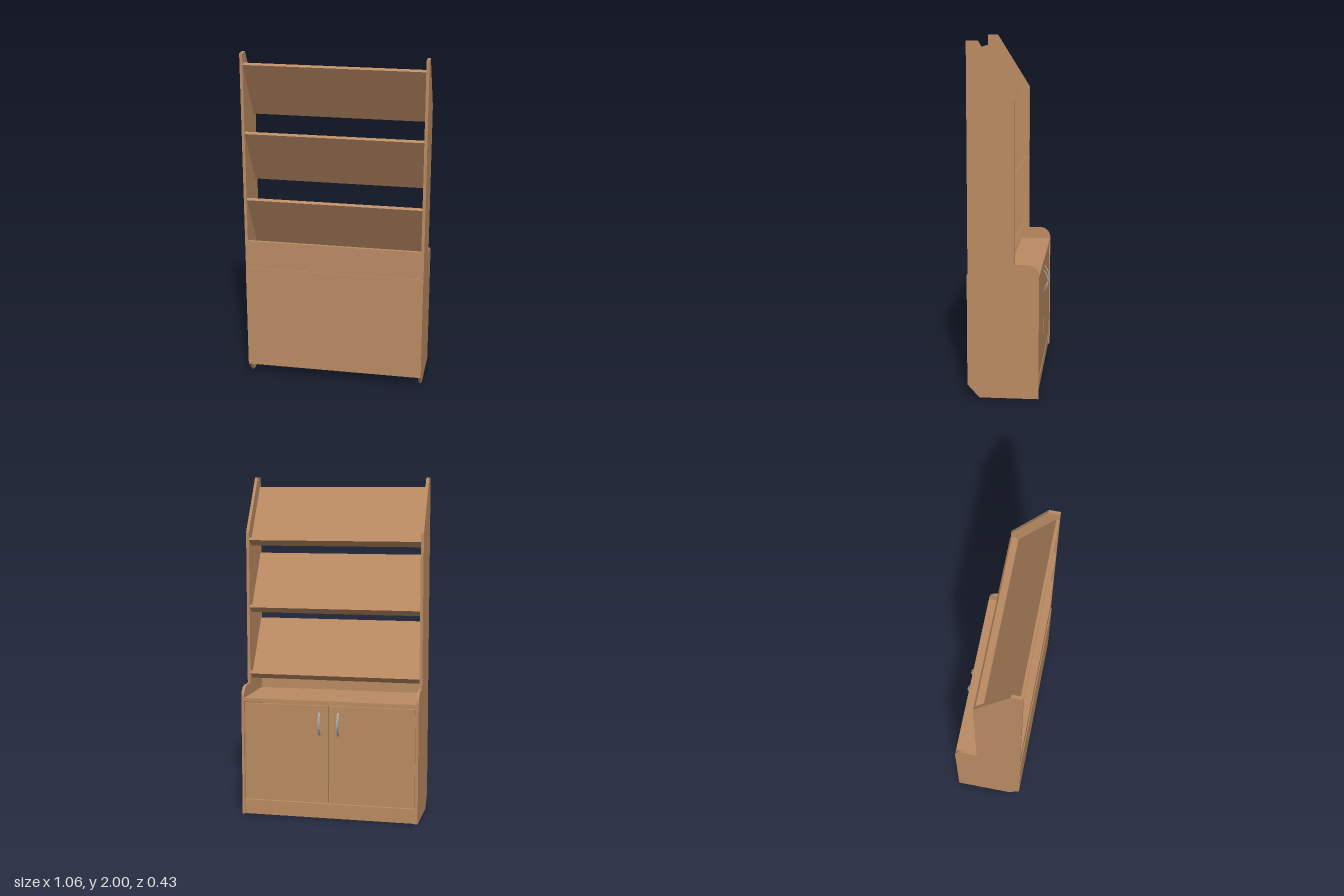
import * as THREE from 'three';

const wood = new THREE.MeshStandardMaterial({ color: 0xba8b63 });
wood.name = 'wood';
const metal = new THREE.MeshStandardMaterial({ color: 0xa3a5a8 });
metal.name = 'handle metal';

const HALF = 0.53, INNER = 0.513, T = 0.019;

export function createModel() {
  const group = new THREE.Group();

  const add = (name, geometry, material = wood) => {
    const mesh = new THREE.Mesh(geometry, material);
    mesh.name = name;
    group.add(mesh);
    return mesh;
  };
  // box from min and max corners
  const board = (name, x0, x1, y0, y1, z0, z1) =>
    add(name, new THREE.BoxGeometry(x1 - x0, y1 - y0, z1 - z0))
      .position.set((x0 + x1) / 2, (y0 + y1) / 2, (z0 + z1) / 2);
  // profile drawn in (z, y), swept along x between x0 and x1
  const sweep = (name, shape, x0, x1, material) => {
    const geo = new THREE.ExtrudeGeometry(shape, { depth: x1 - x0, bevelEnabled: false, curveSegments: 12 });
    geo.rotateY(-Math.PI / 2);
    geo.translate(x1, 0, 0);
    return add(name, geo, material);
  };

  // side panels with sloped top, rounded counter shoulder and cut-off foot
  const side = new THREE.Shape();
  side.moveTo(0.208, 2);
  side.lineTo(0.145, 2);
  side.lineTo(-0.055, 1.68);
  side.lineTo(-0.055, 0.775);
  side.lineTo(-0.125, 0.775);
  side.absarc(-0.125, 0.71, 0.065, Math.PI / 2, Math.PI, false);
  side.lineTo(-0.19, 0);
  side.lineTo(0.145, 0);
  side.lineTo(0.208, 0.07);
  side.closePath();
  sweep('leftSidePanel', side, INNER, HALF);
  sweep('rightSidePanel', side, -HALF, -INNER);

  // tilted display shelves, each with a ledge square to its panel
  const d = new THREE.Vector2(0.53, 0.848), n = new THREE.Vector2(-0.848, 0.53);
  const LENGTH = 0.377, LEDGE = 0.045;
  for (let i = 0; i < 3; i++) {
    const corner = new THREE.Vector2(-0.01, 1.625 - i * 0.4);
    const at = (along, out) => corner.clone().addScaledVector(d, along).addScaledVector(n, out);
    sweep('tiltedShelf' + (i + 1), new THREE.Shape([
      at(0, 0), at(LENGTH, 0), at(LENGTH, -T), at(-T, -T), at(-T, LEDGE), at(0, LEDGE),
    ]), -INNER, INNER);
  }

  // cabinet carcass
  board('counterTop', -INNER, INNER, 0.688, 0.707, -0.19, 0.208);
  board('upperRail', -INNER, INNER, 0.707, 0.88, 0.19, 0.208);
  board('rearSheet', -HALF, HALF, 0.07, 0.71, 0.208, 0.213);
  board('cabinetFloor', -INNER, INNER, 0.07, 0.088, -0.186, 0.208);
  board('plinth', -INNER, INNER, 0, 0.07, -0.18, -0.162);

  // doors and bowed handles
  const bow = new THREE.Shape();
  bow.moveTo(-0.183, 0.64);
  bow.quadraticCurveTo(-0.245, 0.57, -0.183, 0.5);
  bow.lineTo(-0.183, 0.506);
  bow.quadraticCurveTo(-0.235, 0.57, -0.183, 0.634);
  bow.closePath();
  for (const s of [-1, 1]) {
    const label = s > 0 ? 'left' : 'right';
    const a = s * 0.004, b = s * 0.51;
    board(label + 'Door', Math.min(a, b), Math.max(a, b), 0.094, 0.677, -0.184, -0.166);
    sweep(label + 'Handle', bow, s * 0.056 - 0.006, s * 0.056 + 0.006, metal);
  }

  return group;
}
